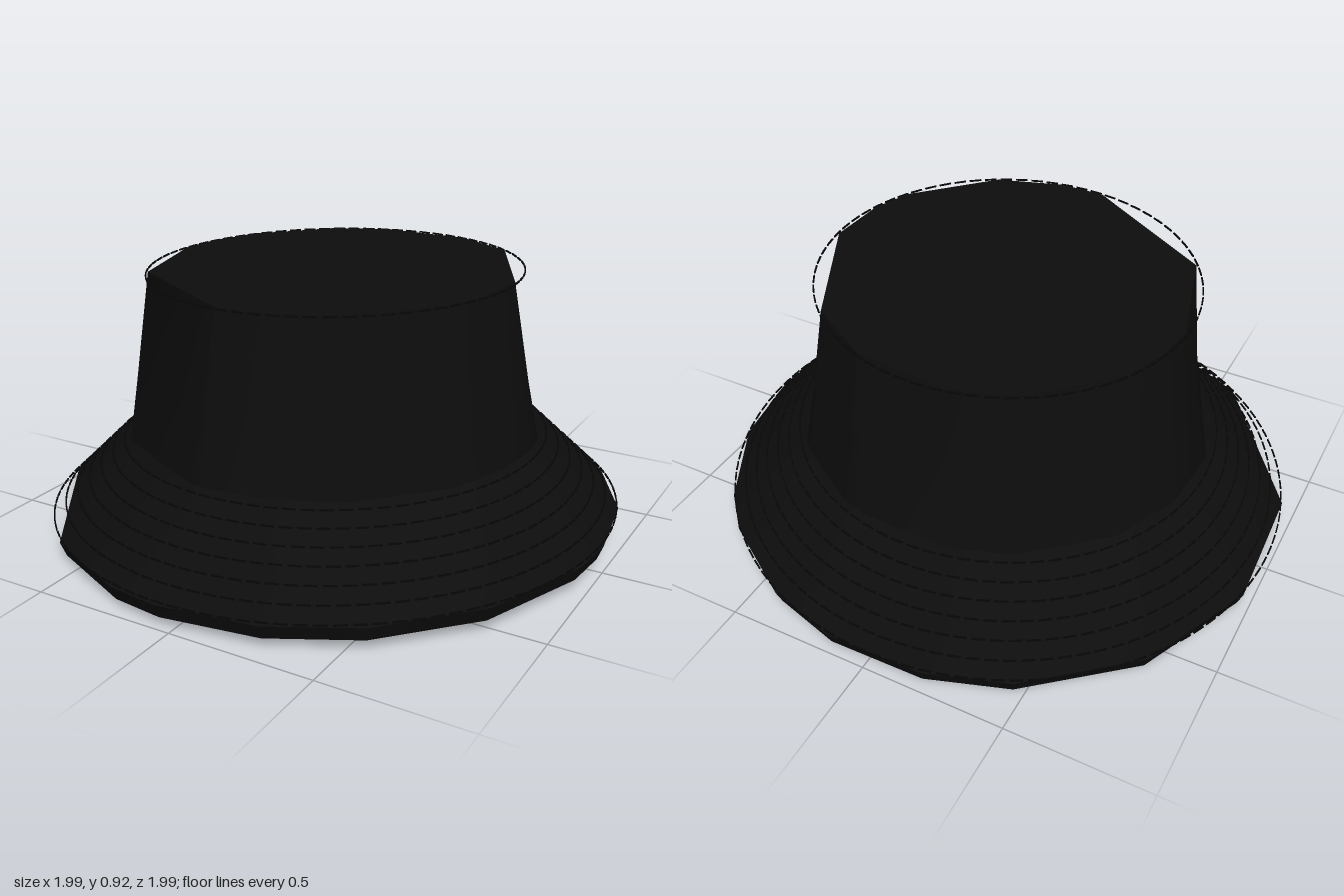
import * as THREE from 'three';
import { mergeGeometries } from 'three/addons/utils/BufferGeometryUtils.js';

// Uneven facet angles in degrees, clockwise from +x seen from above
const RIM = [0, 10, 33, 55, 73, 93, 104, 126, 163.5, 191.5, 216.5, 241.7, 258.5, 278, 292.5, 312, 322, 342];
const CROWN = [-5, 14, 27, 59, 81, 95, 95, 146, 182, 195, 211, 240, 259, 289, 289, 312, 312, 355];

// The whole hat leans very slightly to one side
const lean = (x, y, z) => [x, y + 0.022 * x + 0.007 * z, z];

// Loft rows of [radius, height, blend]; blend 0 uses the rim facets, 1 the crown facets
function loft(rows) {
  const n = RIM.length, pos = [], index = [];
  rows.forEach(([r, y, t], j) => {
    for (let i = 0; i < n; i++) {
      const a = THREE.MathUtils.degToRad(THREE.MathUtils.lerp(RIM[i], CROWN[i], t));
      pos.push(...lean(r * Math.cos(a), y, r * Math.sin(a)));
      if (j === 0) continue;
      const k = (i + 1) % n, lo = (j - 1) * n, hi = j * n;
      index.push(lo + i, hi + i, lo + k, lo + k, hi + i, hi + k);
    }
  });
  const g = new THREE.BufferGeometry();
  g.setAttribute('position', new THREE.Float32BufferAttribute(pos, 3));
  g.setIndex(index);
  g.computeVertexNormals();
  return g;
}

// A round line of short thread dashes
function stitchRing(r, y) {
  const count = Math.round(r * 110), dashes = [];
  for (let i = 0; i < count; i++) {
    const a = (i / count) * Math.PI * 2;
    const dash = new THREE.BoxGeometry(0.005, 0.005, (Math.PI * 2 * r / count) * 0.75);
    dash.rotateY(-a);
    dash.translate(...lean(r * Math.cos(a), y, r * Math.sin(a)));
    dashes.push(dash);
  }
  return mergeGeometries(dashes);
}

export function createModel() {
  const hat = new THREE.Group();
  hat.name = 'bucketHat';
  const cloth = new THREE.MeshStandardMaterial({ color: 0x0d0d0d, side: THREE.DoubleSide });
  cloth.name = 'black cloth';
  const thread = new THREE.MeshStandardMaterial({ color: 0x060606 });
  thread.name = 'black thread';

  const add = (name, geometry, material = cloth) => {
    const mesh = new THREE.Mesh(geometry, material);
    mesh.name = name;
    hat.add(mesh);
  };

  // Outer shell
  add('brim', loft([[0.998, 0.075, 0], [0.9, 0.175, 0.1], [0.8, 0.27, 0.3], [0.718, 0.345, 0.5]]));
  add('crownWall', loft([[0.718, 0.345, 0.5], [0.68, 0.56, 0.7], [0.63, 0.903, 1]]));
  add('crownTop', loft([[0.63, 0.903, 1], [0.35, 0.912, 1], [0, 0.914, 1]]));

  // Folded rim and the inside
  add('brimEdge', loft([[0.978, 0.024, 0], [0.998, 0.075, 0]]));
  add('brimUnderside', loft([[0.695, 0.325, 0.5], [0.88, 0.16, 0.1], [0.978, 0.024, 0]]));
  add('liningWall', loft([[0.608, 0.88, 1], [0.66, 0.55, 0.7], [0.695, 0.325, 0.5]]));
  add('liningTop', loft([[0, 0.89, 1], [0.608, 0.88, 1]]));

  // Stitching around the brim and the crown seam
  for (let i = 0; i < 7; i++) {
    const t = i / 6;
    add('brimStitching', stitchRing(0.992 - 0.255 * t, 0.085 + 0.245 * t), thread);
  }
  add('crownSeam', stitchRing(0.636, 0.9), thread);
  return hat;
}
